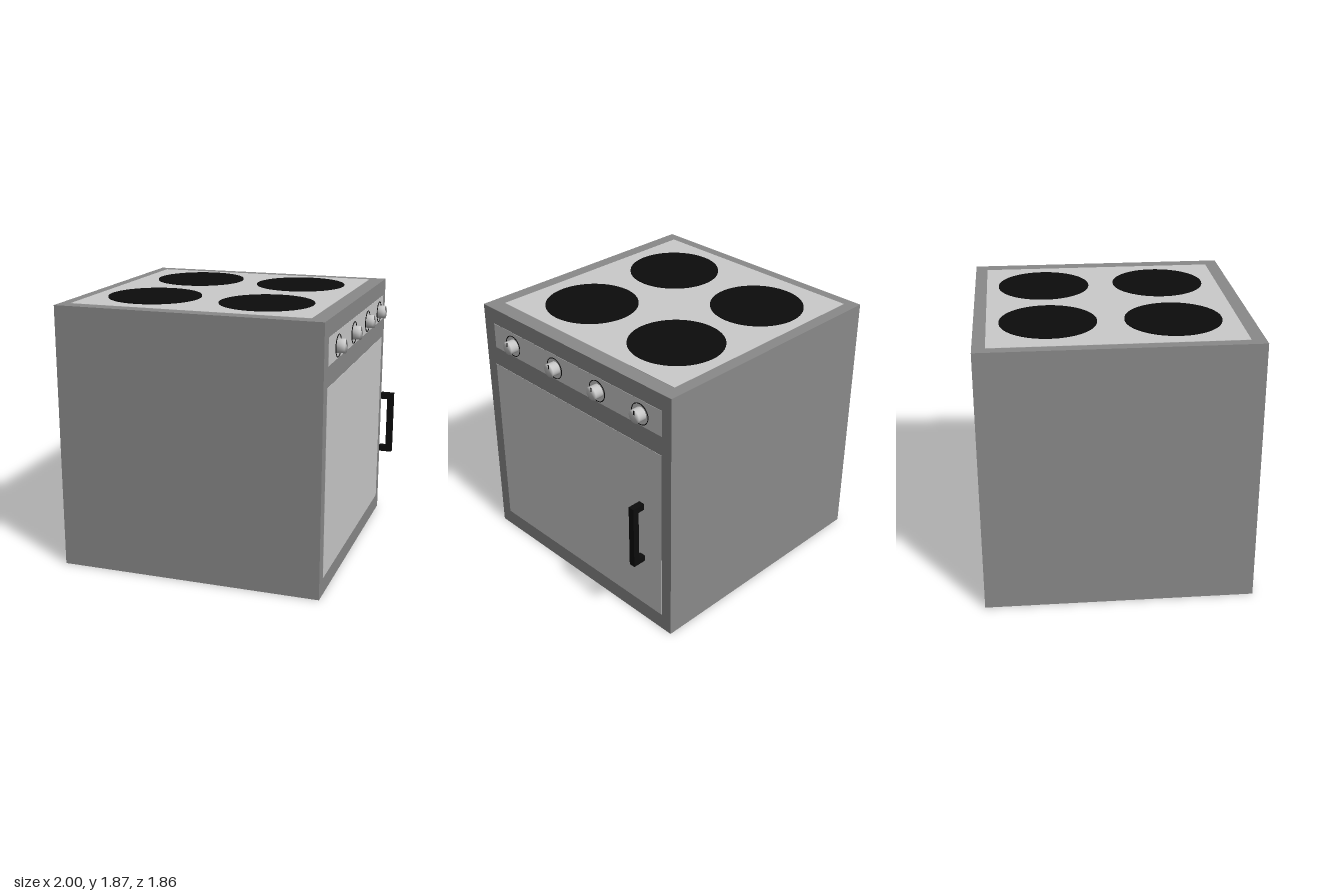
import * as THREE from 'three';
import { mergeVertices } from 'three/addons/utils/BufferGeometryUtils.js';

const FRONT = 0.86; // x of the door side
const TOP = 1.86;

const grey = new THREE.MeshStandardMaterial({ color: 0xcccccc });
const darkGrey = new THREE.MeshStandardMaterial({ color: 0x8a8a8a });
const black = new THREE.MeshStandardMaterial({ color: 0x0c0c0c });

function add(parent, name, geometry, material, x = 0, y = 0, z = 0) {
  const mesh = new THREE.Mesh(geometry, material);
  mesh.name = name;
  mesh.position.set(x, y, z);
  parent.add(mesh);
  return mesh;
}

// Box given by its lower and upper corners
function addBox(parent, name, material, [x0, y0, z0], [x1, y1, z1]) {
  return add(parent, name, new THREE.BoxGeometry(x1 - x0, y1 - y0, z1 - z0), material,
    (x0 + x1) / 2, (y0 + y1) / 2, (z0 + z1) / 2);
}

// Cylinder along x with normals smoothed over its rim
function knobGeometry(radius, length) {
  const geometry = new THREE.CylinderGeometry(radius, radius, length, 32);
  geometry.deleteAttribute('normal');
  geometry.deleteAttribute('uv');
  const smooth = mergeVertices(geometry, 1e-4);
  smooth.computeVertexNormals();
  return smooth.rotateZ(-Math.PI / 2);
}

export function createModel() {
  const model = new THREE.Group();
  model.name = 'stove';

  // Cabinet and its thin inlaid panels
  addBox(model, 'cabinet', darkGrey, [-1, 0, -0.93], [FRONT, TOP, 0.925]);
  addBox(model, 'hob', grey, [-0.925, TOP - 0.01, -0.845], [0.75, TOP + 0.002, 0.83]);
  addBox(model, 'ovenDoor', grey, [FRONT - 0.01, 0.12, -0.845], [FRONT + 0.002, 1.42, 0.835]);
  addBox(model, 'controlPanel', grey, [FRONT - 0.01, 1.56, -0.85], [FRONT + 0.002, 1.745, 0.82]);

  // Four hot plates: x, z, height above the cabinet
  const plates = [[-0.47, -0.437, 0.008], [0.32, -0.435, 0.006], [-0.493, 0.395, 0.01], [0.32, 0.395, 0.006]];
  for (const [x, z, h] of plates) {
    add(model, 'hotPlate', new THREE.CylinderGeometry(0.325, 0.325, h, 64), black, x, TOP + h / 2, z);
  }

  // Four knobs, each with a dial ring and a pointer mark
  const knob = knobGeometry(0.047, 0.065);
  const ring = new THREE.TorusGeometry(0.074, 0.003, 6, 48).rotateY(Math.PI / 2);
  for (const z of [0.603, 0.158, -0.267, -0.665]) {
    const control = new THREE.Group();
    control.name = 'control';
    control.position.set(FRONT, 1.65, z);
    add(control, 'knob', knob, grey, 0.0285, 0, 0);
    add(control, 'dialRing', ring, black, 0.012, 0, 0);
    add(control, 'pointer', new THREE.BoxGeometry(0.004, 0.03, 0.01), black, 0.06, 0.028, 0);
    model.add(control);
  }

  // Upright door handle: a bar with two short ends reaching to the door
  const handle = new THREE.Group();
  handle.name = 'doorHandle';
  addBox(handle, 'bar', black, [0.955, 0.55, -0.73], [1, 1.015, -0.685]);
  for (const y of [0.55, 0.97]) {
    addBox(handle, 'handleEnd', black, [0.905, y, -0.73], [0.955, y + 0.045, -0.685]);
  }
  model.add(handle);

  return model;
}
